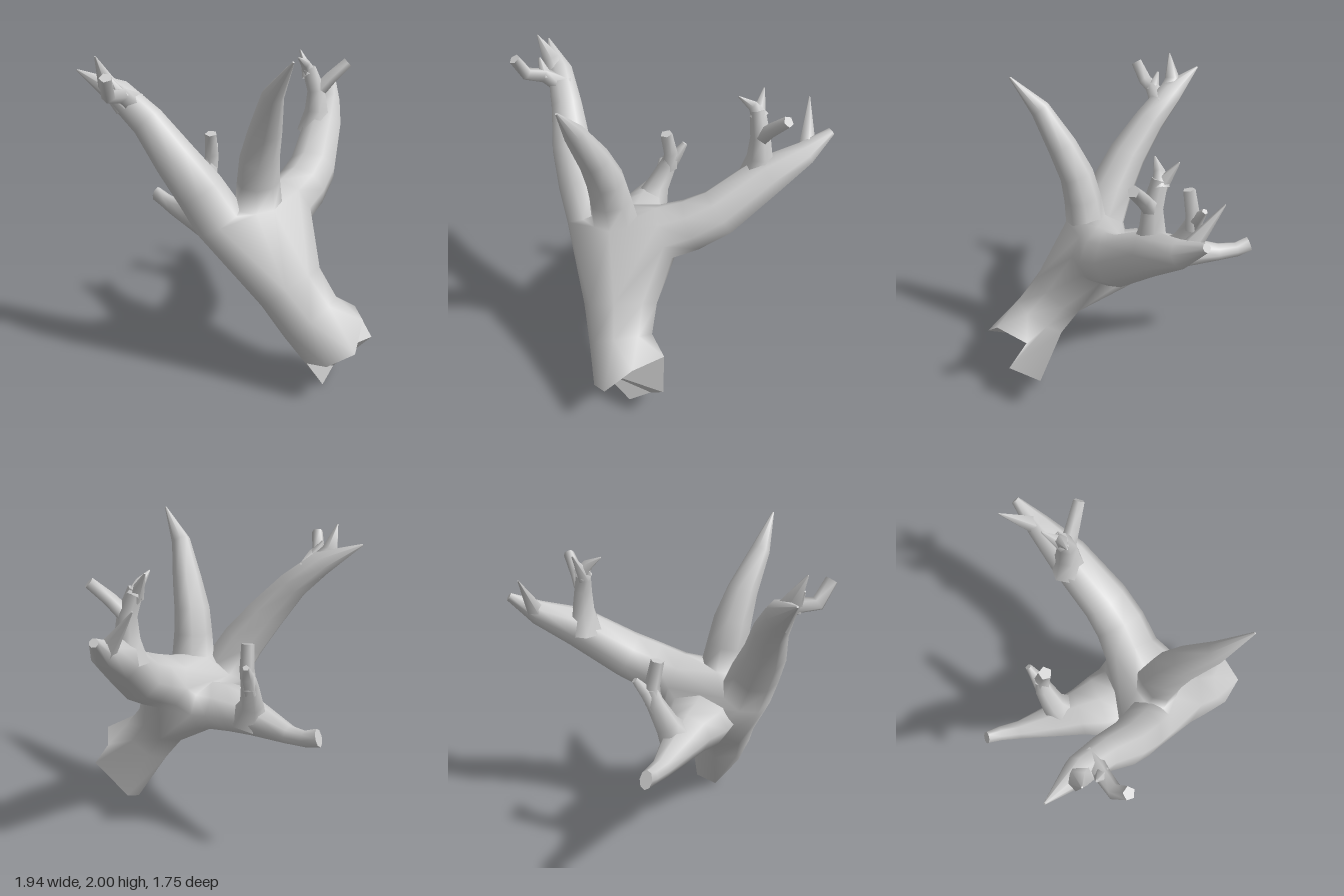
import * as THREE from 'three';
import { mergeGeometries, mergeVertices } from 'three/addons/utils/BufferGeometryUtils.js';
import { ConvexGeometry } from 'three/addons/geometries/ConvexGeometry.js';

const material = new THREE.MeshStandardMaterial({ color: 0xcccccc, side: THREE.DoubleSide });

// Rings of points around a path of sections [x, y, z, radiusU, radiusV]
function makeRings(sections, sides, ref) {
  const centres = sections.map(s => new THREE.Vector3(s[0], s[1], s[2]));
  const u = new THREE.Vector3(...ref);
  const last = sections.length - 1;
  return sections.map(([, , , ru, rv = ru], i) => {
    const t = centres[Math.min(i + 1, last)].clone().sub(centres[Math.max(i - 1, 0)]).normalize();
    u.addScaledVector(t, -u.dot(t)).normalize();
    const v = t.clone().cross(u);
    return Array.from({ length: sides }, (_, j) => {
      const a = (j / sides) * Math.PI * 2;
      return centres[i].clone()
        .addScaledVector(u, ru * Math.cos(a))
        .addScaledVector(v, rv * Math.sin(a));
    });
  });
}

function fromTriangles(points) {
  const geometry = new THREE.BufferGeometry().setFromPoints(points);
  geometry.computeVertexNormals();
  return geometry;
}

// Fan over a ring, starting at one of its corners
function fan(ring, hub = 0) {
  const n = ring.length, tris = [];
  for (let j = 1; j < n - 1; j++) tris.push(ring[hub], ring[(hub + j) % n], ring[(hub + j + 1) % n]);
  return tris;
}

// Skin over successive rings
function skin(rings) {
  const tris = [];
  for (let i = 0; i < rings.length - 1; i++) {
    const a = rings[i], b = rings[i + 1], n = a.length;
    for (let j = 0; j < n; j++) {
      const k = (j + 1) % n;
      tris.push(a[j], a[k], b[k], a[j], b[k], b[j]);
    }
  }
  return fromTriangles(tris);
}

// Weld coincident points so that the shading runs smoothly across them
function smooth(geometry) {
  geometry.deleteAttribute('normal');
  const welded = mergeVertices(geometry, 1e-4);
  welded.computeVertexNormals();
  return welded;
}

// Convex crotch joining the open rings of the trunk and the boughs
function crotch(rings) {
  const pos = new ConvexGeometry(rings.flat()).getAttribute('position');
  const tris = [];
  for (let i = 0; i < pos.count; i += 3) {
    const tri = [0, 1, 2].map(k => new THREE.Vector3().fromBufferAttribute(pos, i + k));
    const insideRing = rings.some(r => tri.every(p => r.some(q => q.distanceTo(p) < 1e-4)));
    if (!insideRing) tris.push(...tri);
  }
  return fromTriangles(tris);
}

function addMesh(parent, name, geometry) {
  const mesh = new THREE.Mesh(geometry, material);
  mesh.name = name;
  parent.add(mesh);
}

function addTwig(parent, name, sections, sides = 5, ref = [1, 0, 0]) {
  const rings = makeRings(sections, sides, ref);
  addMesh(parent, name, smooth(skin(rings)));
  addMesh(parent, name + 'End', fromTriangles(fan(rings.at(-1))));
}

export function createModel() {
  const model = new THREE.Group();
  model.name = 'branchStump';

  // Trunk, leaning back from its jagged foot
  const foot = [
    [0.17, 0.29, 0.75], [0.05, 0.06, 0.56], [-0.08, 0, 0.59], [-0.24, 0.22, 0.6],
    [-0.25, 0.27, 0.76], [-0.15, 0.36, 0.88], [0, 0.49, 0.81], [0.15, 0.46, 0.63],
  ].map(p => new THREE.Vector3(...p));
  const trunk = makeRings([
    [-0.04, 0.25, 0.7, 0.2],
    [-0.14, 0.46, 0.53, 0.195, 0.19],
    [-0.17, 0.62, 0.4, 0.225, 0.18],
  ], 8, [1, 0, 0]);
  trunk[0] = foot;

  // Four boughs, each starting from its ring on the crotch
  const frontBough = makeRings([
    [-0.24, 1.11, 0.205, 0.145, 0.125],
    [-0.255, 1.25, 0.22, 0.13, 0.115],
    [-0.275, 1.4, 0.25, 0.12, 0.105],
    [-0.31, 1.58, 0.33, 0.095, 0.09],
    [-0.375, 1.8, 0.45, 0.06, 0.06],
    [-0.4, 1.995, 0.615, 0.006],
  ], 8, [1, 0, 0]);
  const rightBough = makeRings([
    [-0.43, 1.02, 0.08, 0.155],
    [-0.505, 1.2, 0, 0.145],
    [-0.585, 1.38, -0.11, 0.125],
    [-0.65, 1.58, -0.26, 0.098],
    [-0.73, 1.73, -0.41, 0.08],
    [-0.86, 1.85, -0.61, 0.006],
  ], 8, [1, 0, 0]);
  const leftBough = makeRings([
    [0.06, 1.02, 0.15, 0.17],
    [0.21, 1.08, 0.13, 0.16],
    [0.36, 1.155, 0.08, 0.15],
    [0.62, 1.355, -0.07, 0.125],
    [0.82, 1.46, -0.19, 0.075],
    [0.955, 1.57, -0.28, 0.025],
  ], 8, [0, 0, 1]);
  const backBough = makeRings([
    [-0.17, 0.85, -0.03, 0.225, 0.155],
    [-0.185, 0.86, -0.14, 0.205, 0.145],
    [-0.18, 0.86, -0.27, 0.15, 0.13],
    [-0.18, 0.85, -0.42, 0.11, 0.1],
    [-0.17, 0.835, -0.65, 0.058, 0.058],
    [-0.16, 0.85, -0.77, 0.045, 0.05],
    [-0.17, 0.88, -0.855, 0.035, 0.055],
  ], 8, [1, 0, 0]);

  const boughs = [frontBough, rightBough, leftBough, backBough];
  const joints = [trunk.at(-1), ...boughs.map(b => b[0])];
  addMesh(model, 'trunkAndBoughs', smooth(mergeGeometries([
    skin(trunk), crotch(joints), ...boughs.map(skin),
  ])));
  boughs.forEach(b => addMesh(model, 'boughEnd', fromTriangles(fan(b.at(-1)))));
  addMesh(model, 'brokenFace', fromTriangles(fan([...foot].reverse(), 4)));

  // Twigs of the right bough
  const rightTwigs = new THREE.Group();
  rightTwigs.name = 'rightTwigs';
  addTwig(rightTwigs, 'outerTwig', [
    [-0.67, 1.67, -0.34, 0.07],
    [-0.79, 1.745, -0.3, 0.045],
    [-0.89, 1.76, -0.27, 0.042],
    [-0.94, 1.875, -0.215, 0.035],
  ], 5, [0, 0, 1]);
  addTwig(rightTwigs, 'twigSpur', [
    [-0.78, 1.73, -0.3, 0.045],
    [-0.83, 1.84, -0.34, 0.008],
  ]);
  addTwig(rightTwigs, 'upperTwig', [
    [-0.71, 1.67, -0.36, 0.08],
    [-0.79, 1.8, -0.43, 0.055],
    [-0.86, 1.95, -0.42, 0.005],
  ]);
  model.add(rightTwigs);

  // Forked twig and thorn of the left bough
  const leftTwigs = new THREE.Group();
  leftTwigs.name = 'leftTwigs';
  addTwig(leftTwigs, 'twigStem', [
    [0.56, 1.33, -0.08, 0.12],
    [0.565, 1.47, -0.08, 0.075],
    [0.56, 1.6, -0.08, 0.058],
    [0.53, 1.74, -0.12, 0.045],
  ], 6);
  addTwig(leftTwigs, 'twigFork', [
    [0.56, 1.58, -0.08, 0.05],
    [0.63, 1.68, -0.02, 0.042],
    [0.715, 1.775, 0.045, 0.034],
  ]);
  addTwig(leftTwigs, 'twigTipInner', [
    [0.55, 1.7, -0.12, 0.05],
    [0.5, 1.77, -0.12, 0.032],
    [0.42, 1.82, -0.11, 0.005],
  ]);
  addTwig(leftTwigs, 'twigTipBack', [
    [0.53, 1.69, -0.11, 0.05],
    [0.55, 1.84, -0.215, 0.005],
  ]);
  addTwig(leftTwigs, 'thorn', [
    [0.825, 1.46, -0.2, 0.06],
    [0.805, 1.72, -0.4, 0.004],
  ]);
  model.add(leftTwigs);

  // Forked twig of the back bough
  const backTwigs = new THREE.Group();
  backTwigs.name = 'backTwigs';
  addTwig(backTwigs, 'backTwigStem', [
    [-0.15, 0.86, -0.35, 0.12],
    [-0.11, 0.98, -0.41, 0.075],
    [-0.05, 1.12, -0.44, 0.055],
    [-0.03, 1.2, -0.44, 0.04],
  ], 6);
  addTwig(backTwigs, 'backTwigUpper', [
    [-0.04, 1.1, -0.44, 0.05],
    [-0.03, 1.22, -0.43, 0.046],
    [-0.055, 1.365, -0.41, 0.04],
  ]);
  addTwig(backTwigs, 'backTwigOuter', [
    [-0.06, 1.08, -0.44, 0.05],
    [0.0, 1.19, -0.46, 0.04],
    [0.05, 1.265, -0.49, 0.02],
  ]);
  model.add(backTwigs);

  return model;
}
